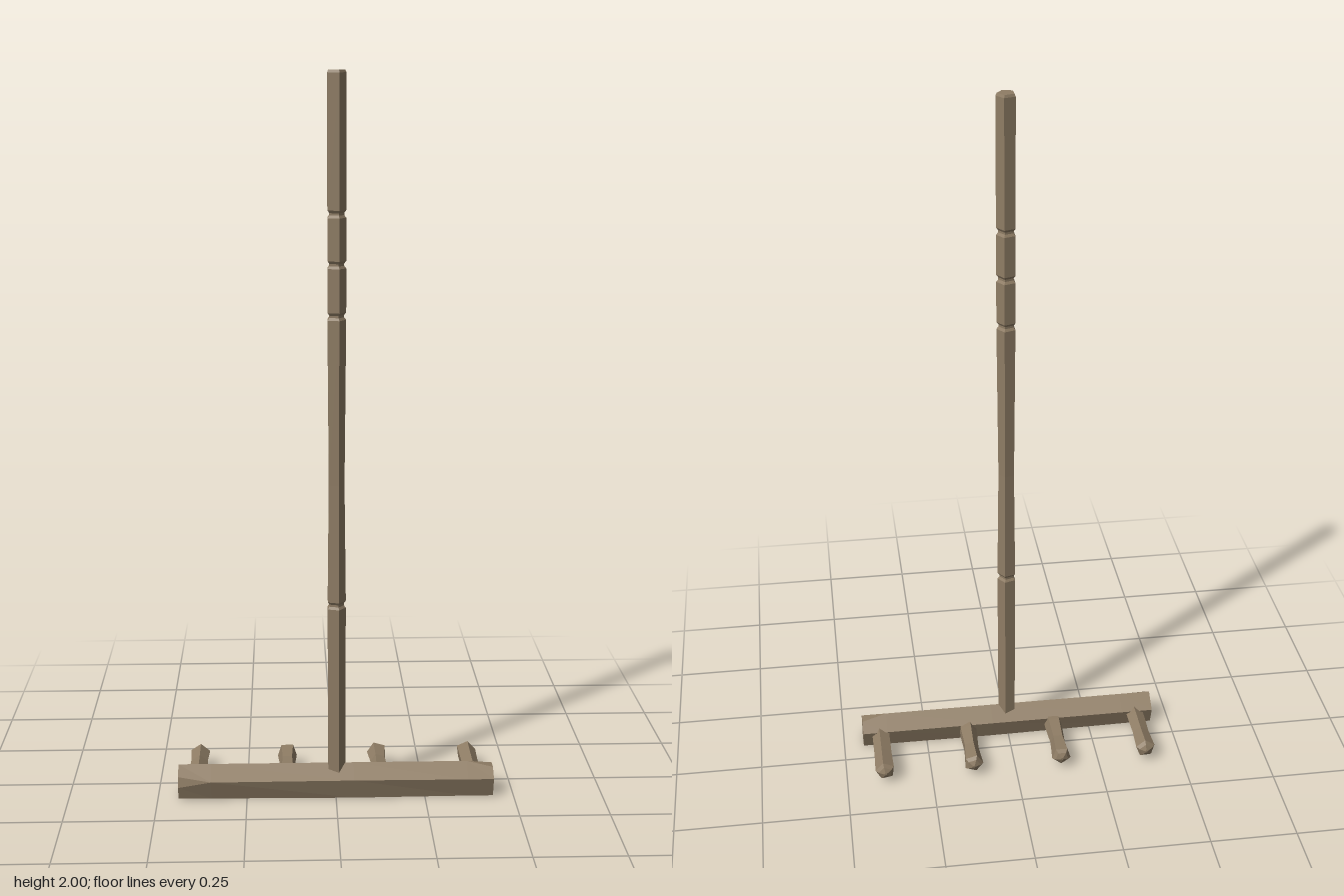
import * as THREE from 'three';

const wood = new THREE.MeshStandardMaterial({ color: 0x8f7d65 });
wood.name = 'weathered wood';

// Skin a list of rings (counter-clockwise around the direction of travel) with flat facets and closed ends.
function loft(name, rings) {
  const n = rings[0].length;
  const pos = [];
  const tri = (a, b, c) => pos.push(...a.toArray(), ...b.toArray(), ...c.toArray());
  for (let i = 0; i < rings.length - 1; i++) {
    for (let j = 0; j < n; j++) {
      const k = (j + 1) % n;
      tri(rings[i][j], rings[i][k], rings[i + 1][k]);
      tri(rings[i][j], rings[i + 1][k], rings[i + 1][j]);
    }
  }
  const first = rings[0], last = rings[rings.length - 1];
  for (let j = 1; j < n - 1; j++) {
    tri(first[0], first[j + 1], first[j]);
    tri(last[0], last[j], last[j + 1]);
  }
  const geometry = new THREE.BufferGeometry();
  geometry.setAttribute('position', new THREE.Float32BufferAttribute(pos, 3));
  geometry.computeVertexNormals();
  const mesh = new THREE.Mesh(geometry, wood);
  mesh.name = name;
  return mesh;
}

// Five-sided ring; place(u, v) maps the flat ring into space.
function pentagon(radius, roll, place) {
  return Array.from({ length: 5 }, (_, i) => {
    const a = roll + (i * Math.PI * 2) / 5;
    return place(radius * Math.cos(a), radius * Math.sin(a));
  });
}

const HEAD_Z = 0.087;

// Long pole with carved grooves and a slim waist
function createHandle() {
  const stations = [[0.07, 0.0265]];
  const groove = y => stations.push([y - 0.01, 0.0275], [y - 0.003, 0.022], [y + 0.003, 0.022], [y + 0.01, 0.0275]);
  groove(0.56);
  stations.push([0.9, 0.0235]);
  [1.36, 1.497, 1.63].forEach(groove);
  stations.push([1.993, 0.0275], [2, 0.024]);
  return loft('handle', stations.map(([y, r]) =>
    pentagon(r, Math.PI / 2, (u, v) => new THREE.Vector3(v, y, HEAD_Z + u))));
}

// Five-sided crossbar; its top ridge and front edge are doubled so they can open into chips at the ends
function createHead() {
  const section = (x, { topY = 0.094, topHalf = 0, edgeZ = 0.133, edgeHigh = 0.058, edgeLow = 0.058, base = 0 }) =>
    [
      [topY, HEAD_Z - topHalf], [topY, HEAD_Z + topHalf],
      [edgeHigh, edgeZ - (edgeHigh - edgeLow) * 0.2], [edgeLow, edgeZ],
      [base, 0.116], [base, 0.058], [0.059, 0.04],
    ].map(([y, z]) => new THREE.Vector3(x, y, z));
  return loft('head', [
    section(-0.442, { edgeZ: 0.126, edgeHigh: 0.07, edgeLow: 0.04, base: 0.004 }),
    section(-0.35, { base: 0.003 }),
    section(0.05, { edgeZ: 0.131 }),
    section(0.37, { base: 0.002 }),
    section(0.442, { topY: 0.082, topHalf: 0.016, base: 0.002 }),
  ]);
}

// Peg with a slight waist and a blunt pointed tip, running backwards from the head
function createTine(x, roll, waist) {
  const stations = [[0.06, 0.027], [0.03, 0.027], [-0.045, waist], [-0.117, 0.029], [-0.127, 0.02], [-0.134, 0.004]];
  return loft('tine', stations.map(([z, r]) =>
    pentagon(r, roll, (u, v) => new THREE.Vector3(x + v, 0.041 + u, z))));
}

export function createModel() {
  const model = new THREE.Group();
  model.name = 'rake';
  model.add(createHandle(), createHead());

  const tines = new THREE.Group();
  tines.name = 'tines';
  [[-0.39, 0.05, 0.025], [-0.136, 0.62, 0.023], [0.127, -0.35, 0.023], [0.388, 0.2, 0.027]]
    .forEach(([x, roll, waist]) => tines.add(createTine(x, roll, waist)));
  model.add(tines);
  return model;
}
